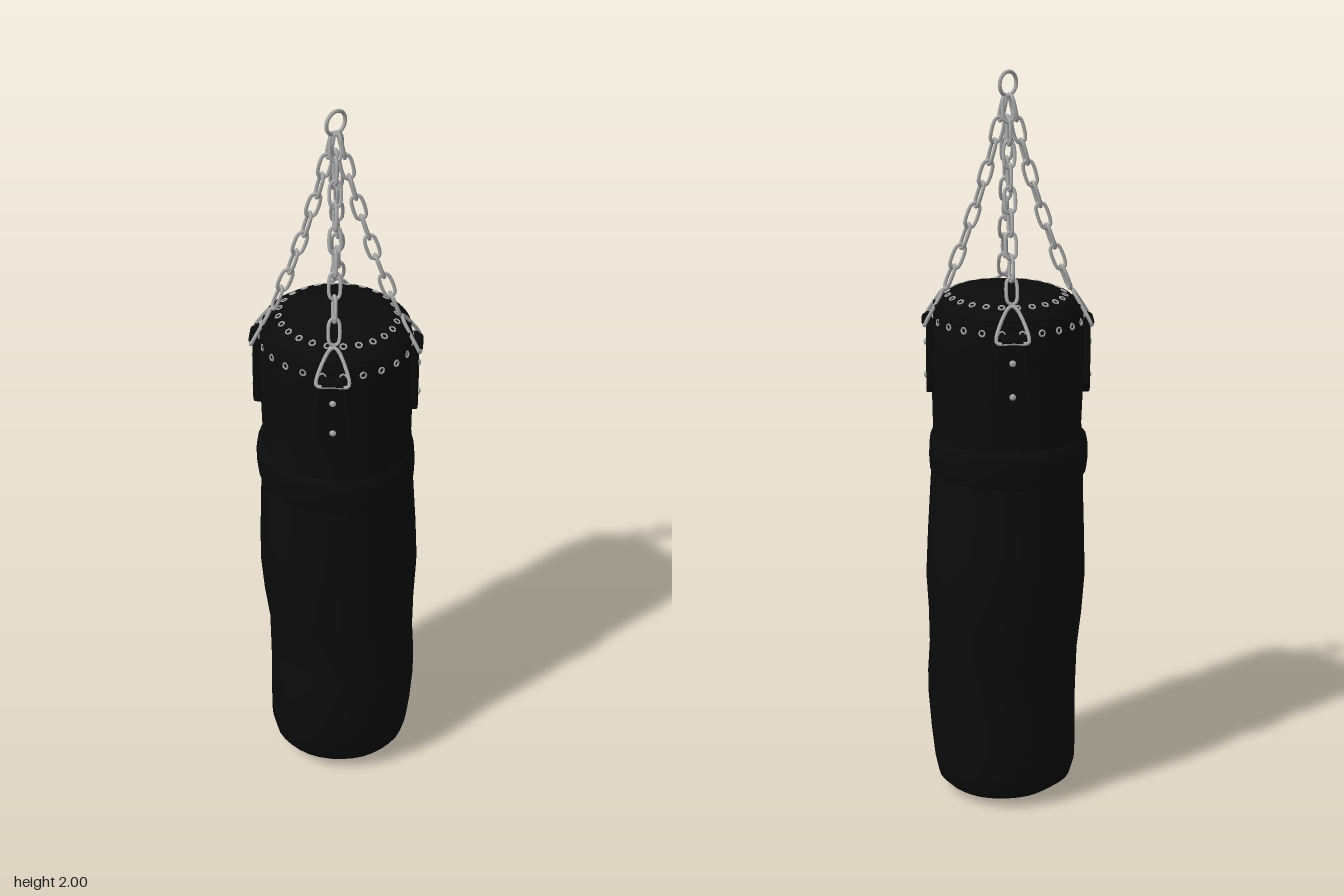
import * as THREE from 'three';
import { mergeVertices } from 'three/addons/utils/BufferGeometryUtils.js';

const leather = new THREE.MeshStandardMaterial({ color: 0x0b0b0b, side: THREE.DoubleSide });
const steel = new THREE.MeshStandardMaterial({ color: 0xa8a8a8 });
const CX = -0.005;

// Cross-sections: [y, xMin, xMax, zMin, zMax]
const BAG = [
  [0, 0, 0, 0, 0],
  [0.004, -0.09, 0.10, -0.09, 0.09],
  [0.02, -0.15, 0.155, -0.155, 0.155],
  [0.045, -0.183, 0.182, -0.18, 0.184],
  [0.09, -0.196, 0.198, -0.186, 0.195],
  [0.16, -0.20, 0.211, -0.189, 0.196],
  [0.26, -0.20, 0.221, -0.191, 0.195],
  [0.33, -0.203, 0.217, -0.194, 0.192],
  [0.42, -0.209, 0.207, -0.197, 0.19],
  [0.52, -0.217, 0.206, -0.206, 0.204],
  [0.63, -0.222, 0.207, -0.215, 0.213],
  [0.75, -0.219, 0.207, -0.209, 0.214],
  [0.88, -0.213, 0.204, -0.195, 0.208],
  [1.00, -0.212, 0.202, -0.188, 0.208],
  [1.06, -0.209, 0.199, -0.187, 0.202],
  [1.16, -0.213, 0.20, -0.188, 0.202],
  [1.28, -0.216, 0.202, -0.19, 0.208],
  [1.36, -0.212, 0.20, -0.187, 0.206],
  [1.385, -0.20, 0.189, -0.18, 0.195],
  [1.405, -0.18, 0.168, -0.163, 0.172],
  [1.418, -0.15, 0.14, -0.135, 0.14],
  [1.424, -0.09, 0.08, -0.08, 0.085],
  [1.425, CX, CX, 0.005, 0.005]
];
const BAND = [
  [0.925, -0.209, 0.20, -0.186, 0.204],
  [0.932, -0.221, 0.209, -0.194, 0.214],
  [0.96, -0.225, 0.212, -0.196, 0.217],
  [1.0, -0.225, 0.21, -0.196, 0.218],
  [1.022, -0.221, 0.207, -0.193, 0.215],
  [1.035, -0.206, 0.196, -0.184, 0.20]
];

// Unit lathe stretched to the cross-sections, with slight leather wrinkles
function shell(name, rows, lump) {
  const geo = new THREE.LatheGeometry(rows.map(r => new THREE.Vector2(1, r[0])), 36);
  const p = geo.attributes.position;
  for (let i = 0; i < p.count; i++) {
    const [y, x0, x1, z0, z1] = rows[i % rows.length];
    const a = Math.atan2(p.getX(i), p.getZ(i));
    const k = 1 + lump * Math.sin(5 * a + y * 9) * Math.sin(3 * a - y * 14);
    p.setXYZ(i, (x0 + x1) / 2 + p.getX(i) * k * (x1 - x0) / 2, y,
      (z0 + z1) / 2 + p.getZ(i) * k * (z1 - z0) / 2);
  }
  geo.deleteAttribute('uv');
  geo.deleteAttribute('normal');
  const merged = mergeVertices(geo, 1e-5);
  merged.computeVertexNormals();
  const m = new THREE.Mesh(merged, leather);
  m.name = name;
  return m;
}

// Point on the bag surface at a height and angle
function surface(y, a) {
  let i = 1;
  while (i < BAG.length - 2 && BAG[i + 1][0] < y) i++;
  const t = (y - BAG[i][0]) / (BAG[i + 1][0] - BAG[i][0]);
  const [, x0, x1, z0, z1] = BAG[i].map((v, k) => v + (BAG[i + 1][k] - v) * t);
  return new THREE.Vector3((x0 + x1) / 2 + Math.sin(a) * (x1 - x0) / 2, y,
    (z0 + z1) / 2 + Math.cos(a) * (z1 - z0) / 2);
}

// Elongated chain link, long axis along y
function linkGeometry() {
  const pts = [];
  for (const [cy, from] of [[0.02, 0], [-0.02, Math.PI]]) {
    for (let i = 0; i <= 4; i++) {
      const a = from + i * Math.PI / 4;
      pts.push(new THREE.Vector3(0.014 * Math.cos(a), cy + 0.014 * Math.sin(a), 0));
    }
  }
  return new THREE.TubeGeometry(new THREE.CatmullRomCurve3(pts, true), 28, 0.0048, 7, true);
}

// Leather tab with a rounded lower end
function tabGeometry() {
  const s = new THREE.Shape();
  s.moveTo(-0.035, 0.1);
  s.lineTo(-0.045, -0.06);
  s.absarc(0, -0.06, 0.045, Math.PI, Math.PI * 2, false);
  s.lineTo(0.035, 0.1);
  s.closePath();
  return new THREE.ExtrudeGeometry(s, {
    depth: 0.016, curveSegments: 12, bevelSize: 0.003, bevelThickness: 0.003, bevelSegments: 1
  });
}

export function createModel() {
  const model = new THREE.Group();
  model.name = 'hangingPunchingBag';
  const add = (parent, name, geo, mat) => {
    const m = new THREE.Mesh(geo, mat);
    m.name = name;
    parent.add(m);
    return m;
  };
  model.add(shell('bagBody', BAG, 0.008), shell('paddedBand', BAND, 0.004));

  // Seam round the lid
  const seam = [];
  for (let i = 0; i < 36; i++) seam.push(surface(1.385, i * Math.PI / 18));
  add(model, 'lidSeam', new THREE.TubeGeometry(new THREE.CatmullRomCurve3(seam, true), 72, 0.004, 6, true), leather);

  // Top hanging ring
  const ring = add(model, 'hangingRing', new THREE.TorusGeometry(0.031, 0.005, 8, 28), steel);
  ring.position.set(-0.008, 1.964, 0.008);
  ring.rotation.y = Math.PI / 2;

  // Two rows of eyelets, on the shoulder and on the side
  const eyelet = new THREE.TorusGeometry(0.008, 0.0027, 5, 8);
  for (const [y, tilt] of [[1.412, -1.1], [1.352, -0.15]]) {
    for (let i = 0; i < 24; i++) {
      const a = (i + 0.5) * Math.PI / 12;
      const e = add(model, 'eyelet', eyelet, steel);
      e.position.copy(surface(y, a));
      e.rotation.set(tilt, a, 0, 'YXZ');
    }
  }

  // Four corners: tab, rivets, triangular ring and chain
  const link = linkGeometry(), tab = tabGeometry();
  const rivet = new THREE.SphereGeometry(0.009, 10, 6);
  const triangle = new THREE.TubeGeometry(new THREE.CatmullRomCurve3([
    [0, 0.085, -0.04], [-0.012, 0.078, -0.036], [-0.042, 0.012, 0.003], [-0.04, 0, 0.008],
    [0, 0, 0.01], [0.04, 0, 0.008], [0.042, 0.012, 0.003], [0.012, 0.078, -0.036]
  ].map(v => new THREE.Vector3(...v)), true, 'centripetal'), 48, 0.005, 7, true);
  const up = new THREE.Vector3(0, 1, 0);

  for (let c = 0; c < 4; c++) {
    const a = Math.PI / 4 + c * Math.PI / 2;
    const corner = new THREE.Group();
    corner.name = 'cornerFitting';
    corner.position.copy(surface(1.25, a));
    corner.rotation.y = a;
    model.add(corner);
    add(corner, 'strapTab', tab, leather).position.z = -0.006;
    for (const y of [0.03, -0.06]) {
      const r = add(corner, 'rivet', rivet, steel);
      r.position.set(0, y, 0.014);
      r.scale.z = 0.6;
    }
    add(corner, 'triangleRing', triangle, steel).position.set(0, 0.085, 0.008);
    const loop = add(corner, 'strapLoop', new THREE.CylinderGeometry(0.012, 0.012, 0.055, 10), leather);
    loop.rotation.z = Math.PI / 2;
    loop.position.set(0, 0.09, 0.012);

    const chain = new THREE.Group();
    chain.name = 'chain';
    model.add(chain);
    const end = corner.position.clone().add(new THREE.Vector3(Math.sin(a) * -0.04, 0.178, Math.cos(a) * -0.04));
    const start = new THREE.Vector3(-0.008 + Math.sin(a) * 0.008, 1.93, 0.008 + Math.cos(a) * 0.008);
    const mid = start.clone().lerp(end, 0.5).add(new THREE.Vector3(-Math.sin(a) * 0.025, 0, -Math.cos(a) * 0.025));
    const path = new THREE.QuadraticBezierCurve3(start, mid, end);
    const N = 9;
    for (let i = 0; i < N; i++) {
      const t = (i + 0.5) / N;
      const l = add(chain, 'chainLink', link, steel);
      l.position.copy(path.getPointAt(t));
      l.quaternion.setFromUnitVectors(up, path.getTangentAt(t).negate());
      l.rotateY(a + (i % 2) * Math.PI / 2 + 0.3);
    }
  }
  return model;
}
